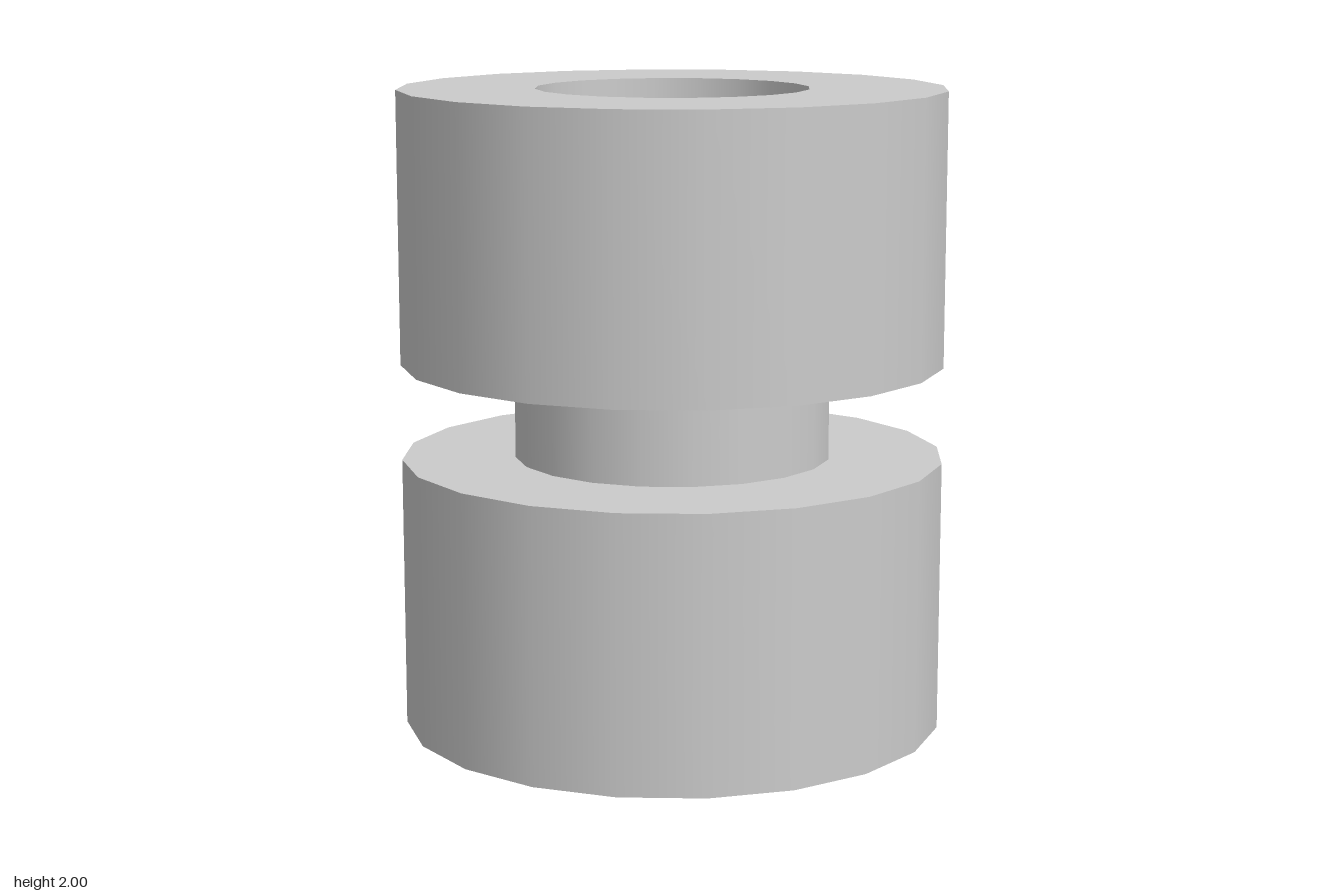
import * as THREE from 'three';
import { mergeGeometries } from 'three/addons/utils/BufferGeometryUtils.js';

const SIDES = 20;

// Hollow ring: each profile edge is turned separately so the rims stay sharp
// while the walls shade smoothly.
function ringGeometry(inner, outer, bottom, top) {
  const corners = [
    new THREE.Vector2(inner, bottom),
    new THREE.Vector2(outer, bottom),
    new THREE.Vector2(outer, top),
    new THREE.Vector2(inner, top),
  ];
  const walls = corners.map((p, i) => new THREE.LatheGeometry([p, corners[(i + 1) % 4]], SIDES));
  return mergeGeometries(walls);
}

export function createModel() {
  const group = new THREE.Group();
  group.name = 'spool';
  const material = new THREE.MeshStandardMaterial({ color: 0xcccccc });

  const add = (name, ...size) => {
    const mesh = new THREE.Mesh(ringGeometry(...size), material);
    mesh.name = name;
    group.add(mesh);
  };

  // Two wide collars joined by a narrower neck with a smaller bore
  add('lowerCollar', 0.425, 0.85, 0, 0.85);
  add('neck', 0.248, 0.496, 0.85, 1.15);
  add('upperCollar', 0.425, 0.85, 1.15, 2);

  return group;
}
